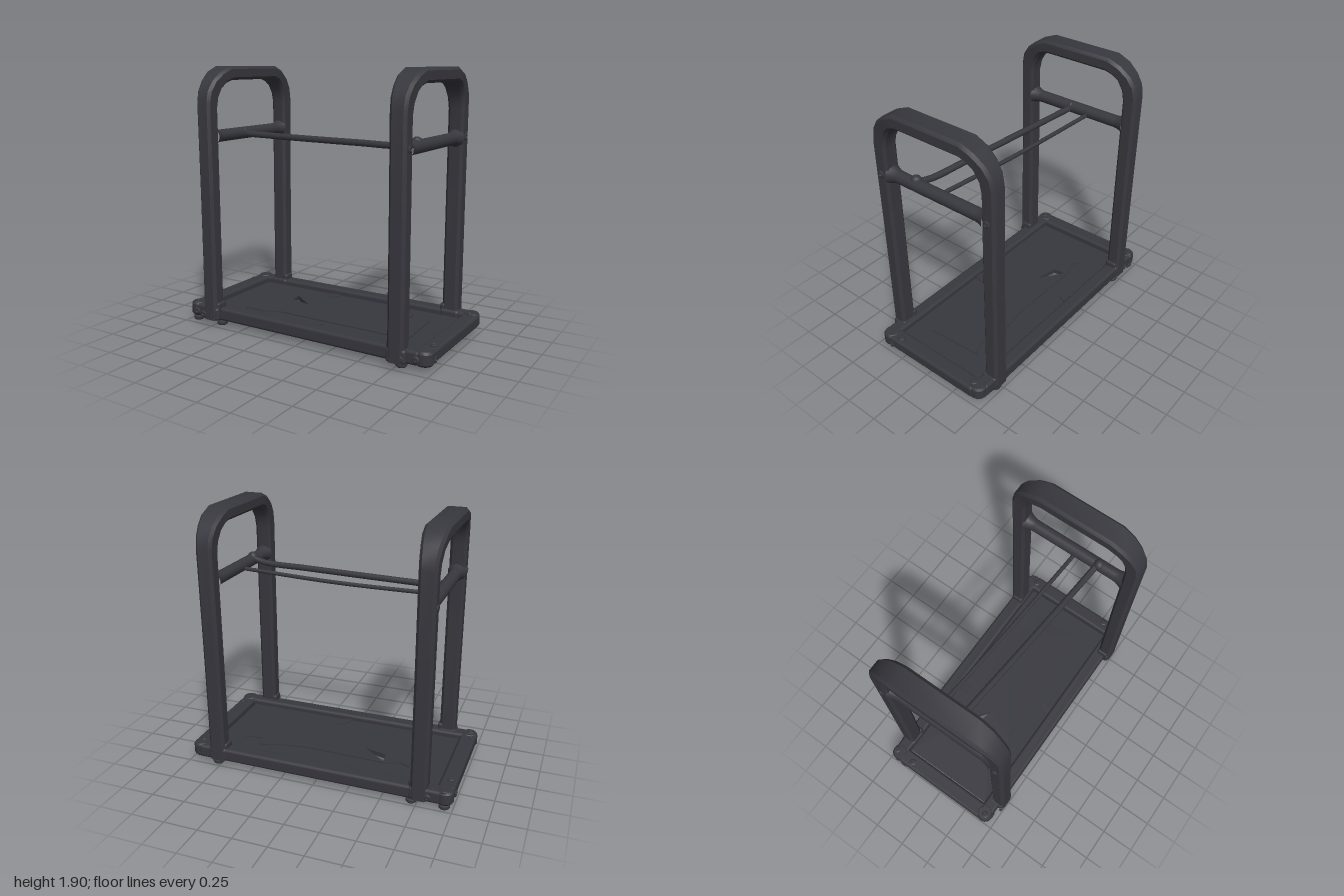
import * as THREE from 'three';
import { toCreasedNormals } from 'three/addons/utils/BufferGeometryUtils.js';
import { RoundedBoxGeometry } from 'three/addons/geometries/RoundedBoxGeometry.js';

const metal = new THREE.MeshStandardMaterial({ color: 0x37373e });
metal.name = 'dark painted metal';

function add(parent, name, geometry, x = 0, y = 0, z = 0) {
  const mesh = new THREE.Mesh(geometry, metal);
  mesh.name = name;
  mesh.position.set(x, y, z);
  parent.add(mesh);
  return mesh;
}

// Box given by its limits, with softened edges
function bar(parent, name, x0, x1, y0, y1, z0, z1, r = 0.022) {
  const g = new RoundedBoxGeometry(x1 - x0, y1 - y0, z1 - z0, 2, r);
  return add(parent, name, g, (x0 + x1) / 2, (y0 + y1) / 2, (z0 + z1) / 2);
}

// Hoop: chamfered section swept between an inner and an outer outline
function hoopGeometry() {
  // outer z, outer y, inner z, inner y, half width
  const side = [
    [0.5, 0.05, 0.392, 0.05, 0.06],
    [0.503, 1.0, 0.395, 1.0, 0.06],
    [0.508, 1.66, 0.4, 1.61, 0.06],
    [0.492, 1.74, 0.387, 1.685, 0.063],
    [0.445, 1.81, 0.35, 1.755, 0.07],
    [0.37, 1.87, 0.31, 1.79, 0.08],
    [0.275, 1.908, 0.25, 1.81, 0.084],
  ];
  const stations = [...side, ...side.slice().reverse().map(([a, b, c, d, w]) => [-a, b, -c, d, w])];
  const pos = [], idx = [], n = 8, c = 0.02;
  for (const [oz, oy, iz, iy, w] of stations) {
    const k = c / Math.hypot(oz - iz, oy - iy);
    const ring = [[-w + c, 0], [w - c, 0], [w, k], [w, 1 - k], [w - c, 1], [-w + c, 1], [-w, 1 - k], [-w, k]];
    for (const [x, t] of ring) pos.push(x, iy + (oy - iy) * t, iz + (oz - iz) * t);
  }
  const last = (stations.length - 1) * n;
  for (let i = 0; i < last; i += n) {
    for (let j = 0; j < n; j++) {
      const a = i + j, b = i + (j + 1) % n;
      idx.push(a, a + n, b, a + n, b + n, b);
    }
  }
  for (let j = 1; j < n - 1; j++) idx.push(0, j, j + 1, last, last + j + 1, last + j);
  const g = new THREE.BufferGeometry();
  g.setAttribute('position', new THREE.Float32BufferAttribute(pos, 3));
  g.setIndex(idx);
  return toCreasedNormals(g, 0.6);
}

// Flat plate from an x/z outline; its top lies at y = 0
function plate(points, depth, hole) {
  const toV = (p) => new THREE.Vector2(p[0], p[1]);
  const shape = new THREE.Shape(points.map(toV));
  if (hole) shape.holes.push(new THREE.Path(hole.map(toV)));
  return new THREE.ExtrudeGeometry(shape, { depth, bevelEnabled: false }).rotateX(Math.PI / 2);
}

// Low bolt head facing along an axis
function bolt(parent, axis, x, y, z) {
  const profile = [[0.026, -0.01], [0.026, 0.004], [0.018, 0.009], [0.011, 0.009], [0.009, 0.004], [0, 0.004]];
  const g = new THREE.LatheGeometry(profile.map((p) => new THREE.Vector2(...p)), 12);
  const m = add(parent, 'bolt', toCreasedNormals(g, 0.5), x, y, z);
  m.quaternion.setFromUnitVectors(new THREE.Vector3(0, 1, 0), new THREE.Vector3(...axis));
}

export function createModel() {
  const model = new THREE.Group();
  model.name = 'rack';

  // Base frame
  const base = new THREE.Group();
  base.name = 'base';
  model.add(base);
  bar(base, 'backRail', -0.94, 0.92, 0.045, 0.143, -0.49, -0.385);
  bar(base, 'frontRail', -0.94, 0.92, 0.045, 0.143, 0.355, 0.46);
  bar(base, 'rightRail', -0.998, -0.88, 0.05, 0.14, -0.41, 0.41);
  bar(base, 'leftRail', 0.875, 0.992, 0.05, 0.14, -0.42, 0.42);
  for (const [x, z] of [[-0.94, -0.435], [-0.94, 0.405], [0.925, -0.425], [0.935, 0.4]]) {
    const g = new THREE.LatheGeometry([[0, 0.045], [0.05, 0.045], [0.062, 0.06], [0.062, 0.13], [0.05, 0.146], [0, 0.146]]
      .map((p) => new THREE.Vector2(...p)), 12);
    add(base, 'cornerCap', toCreasedNormals(g, 0.6), x, 0, z);
  }

  // Floor panel with a torn hole and embossed relief on both faces
  const hole = [[-0.425, -0.175], [-0.24, -0.04], [-0.415, -0.08]];
  const panel = [[-0.868, -0.378], [0.866, -0.378], [0.866, 0.36], [-0.868, 0.36]];
  const relief = [[-0.62, -0.19], [-0.55, -0.15], [-0.45, -0.19], [0.18, -0.18], [0.38, -0.21], [0.47, -0.25],
    [0.54, -0.26], [0.55, -0.17], [0.63, -0.17], [0.7, -0.21], [0.72, 0.2], [-0.33, 0.2], [-0.45, 0.25], [-0.62, 0.25]];
  add(base, 'floorPanel', plate(panel, 0.02, hole), 0, 0.1, 0);
  add(base, 'panelRelief', plate(relief, 0.009, hole), 0, 0.108, 0);
  add(base, 'panelReliefBelow', plate(relief, 0.009, hole), 0, 0.081, 0);
  const tabs = [[[0, 0.355], [0.02, 0.29], [0.08, 0.25], [0.06, 0.355]],
    [[-0.23, -0.37], [-0.14, -0.37], [-0.17, -0.31], [-0.21, -0.29]]];
  for (const t of tabs) add(base, 'panelTab', plate(t, 0.009), 0, 0.108, 0);

  // Feet
  for (const [x, z] of [[-0.94, 0.42], [-0.94, -0.45], [-0.71, 0.42], [-0.71, -0.45], [0.78, 0.42], [0.78, -0.45]]) {
    const g = new THREE.LatheGeometry([[0, 0.006], [0.03, 0.006], [0.04, 0.016], [0.04, 0.034], [0.028, 0.04], [0.028, 0.06]]
      .map((p) => new THREE.Vector2(...p)), 12);
    add(base, 'foot', toCreasedNormals(g, 0.6), x, 0, z);
  }

  // Two hoops, each with a cross bar that flares into the legs
  const hoop = hoopGeometry();
  const crossProfile = [[0.068, -0.41], [0.06, -0.395], [0.048, -0.36], [0.045, -0.33],
    [0.045, 0.33], [0.048, 0.36], [0.06, 0.395], [0.068, 0.41]].map((p) => new THREE.Vector2(...p));
  const cross = new THREE.LatheGeometry(crossProfile, 14).rotateX(Math.PI / 2);
  for (const s of [-1, 1]) {
    const frame = new THREE.Group();
    frame.name = s < 0 ? 'rightHoop' : 'leftHoop';
    frame.position.x = s * 0.766;
    model.add(frame);
    add(frame, 'hoop', hoop);
    add(frame, 'crossBar', cross, 0, 1.41, 0);
    for (const e of [-1, 1]) {
      bar(frame, 'legSocket', -0.073, 0.073, 0.046, 0.148, e * 0.437 - 0.058, e * 0.437 + 0.058);
      bar(frame, 'legGusset', -s * 0.055 - 0.02, -s * 0.055 + 0.02, 0.12, 0.185, e * 0.435 - 0.045, e * 0.435 + 0.045, 0.015);
      bolt(frame, [s, 0, 0], s * 0.06, 1.42, e * 0.45);
    }
  }

  // Two rods between the cross bars, slightly askew
  const rod = (name, r, points) => add(model, name,
    new THREE.TubeGeometry(new THREE.CatmullRomCurve3(points.map((p) => new THREE.Vector3(...p))), 24, r, 8));
  rod('thickRod', 0.023, [[-0.75, 1.405, 0.06], [-0.3, 1.403, 0.1], [0.3, 1.403, 0.15], [0.64, 1.405, 0.177], [0.76, 1.43, 0.19]]);
  rod('thinRod', 0.015, [[-0.76, 1.395, -0.095], [0, 1.38, -0.04], [0.76, 1.395, 0.012]]);
  add(model, 'rodEnd', new THREE.SphereGeometry(0.04, 12, 8), 0.755, 1.434, 0.2);
  add(model, 'rodEnd', new THREE.SphereGeometry(0.034, 12, 8), -0.755, 1.42, 0.06);

  // Bolts on the base frame
  for (const [x, z] of [[-0.94, -0.465], [-0.95, 0.415], [-0.95, -0.3], [0.95, 0.29], [0.93, -0.39]]) {
    bolt(base, [0, 1, 0], x, 0.142, z);
  }
  for (const [x, y] of [[-0.92, 0.085], [0.9, 0.09]]) bolt(base, [0, 0, 1], x, y, 0.46);
  for (const x of [-0.83, 0.8]) {
    bolt(base, [0, 0, 1], x, 0.085, 0.49);
    bolt(base, [0, 0, -1], x, 0.085, -0.49);
  }
  bolt(base, [1, 0, 0], 0.99, 0.08, 0.36);
  bolt(base, [-1, 0, 0], -0.996, 0.08, -0.36);
  return model;
}
